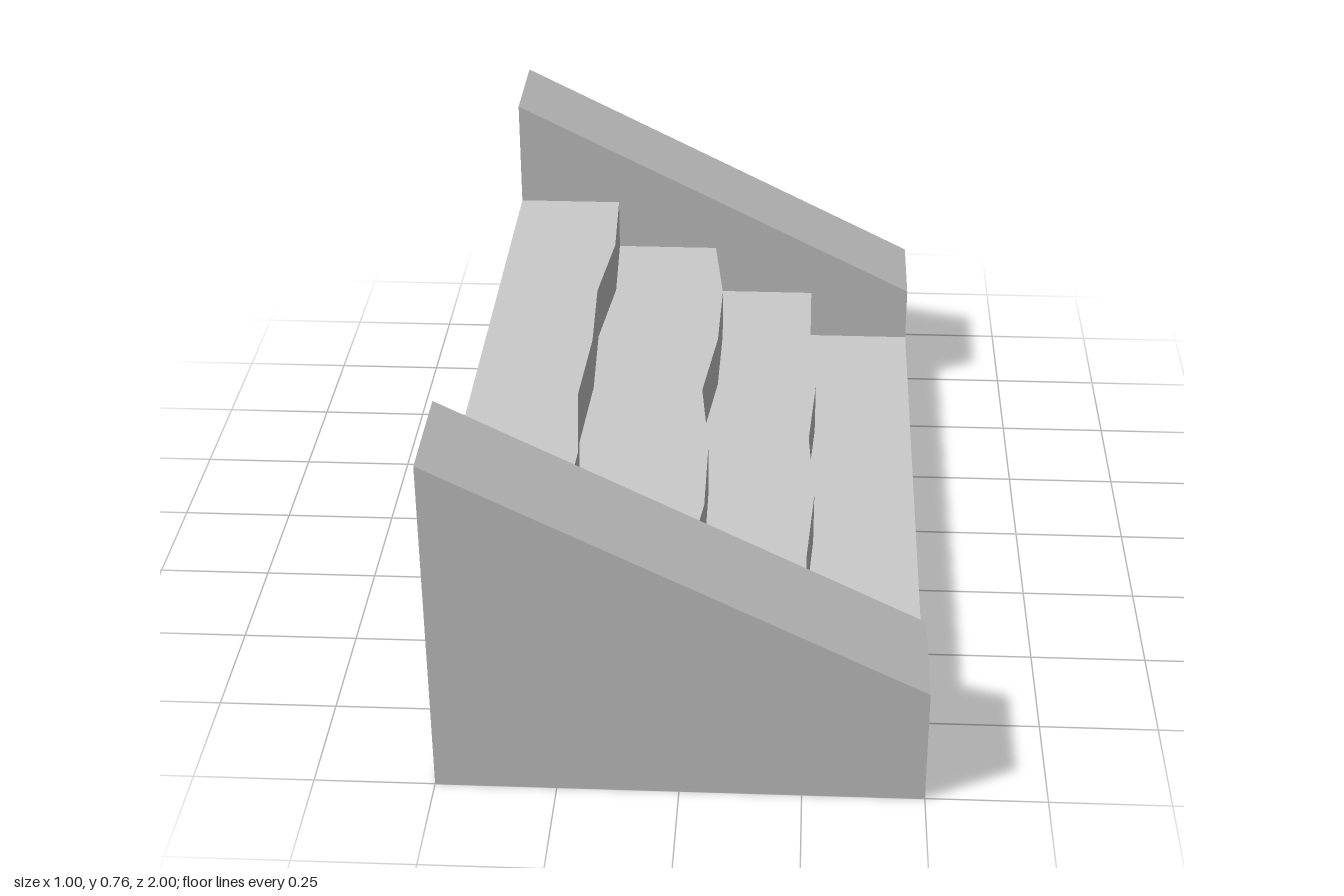
import * as THREE from 'three';

const material = new THREE.MeshStandardMaterial({ color: 0xcccccc, flatShading: true });
const HALF_WIDTH = 0.75; // half the tread length along z
const BACK = -0.5;
const RISE = 0.125;

function extrude(points, depth, name) {
  const shape = new THREE.Shape(points.map(([x, y]) => new THREE.Vector2(x, y)));
  const mesh = new THREE.Mesh(new THREE.ExtrudeGeometry(shape, { depth, bevelEnabled: false }), material);
  mesh.name = name;
  return mesh;
}

export function createModel() {
  const group = new THREE.Group();
  group.name = 'staircase';

  // Stacked step layers: worn front edge x at z = 0.75, 0.5, 0.25, 0 (mirrored)
  const edges = [
    [0.5, 0.5, 0.5, 0.5],
    [0.25, 0.25, 0.265, 0.25],
    [0, 0.028, 0.026, 0],
    [-0.25, -0.24, -0.263, -0.253],
  ];
  edges.forEach((edge, i) => {
    const front = [];
    for (let k = -3; k <= 3; k++) front.push([edge[3 - Math.abs(k)], k * HALF_WIDTH / 3]);
    const outline = [[BACK, -HALF_WIDTH], ...front, [BACK, HALF_WIDTH]];
    const step = extrude(outline, RISE, `step${i + 1}`);
    step.rotation.x = -Math.PI / 2;
    step.position.y = i * RISE;
    group.add(step);
  });

  // Sloped side walls
  const profile = [[BACK, 0], [0.5, 0], [0.5, 0.26], [BACK, 0.76]];
  for (const [name, z] of [['frontSideWall', HALF_WIDTH], ['backSideWall', -1]]) {
    const wall = extrude(profile, 0.25, name);
    wall.position.z = z;
    group.add(wall);
  }
  return group;
}
